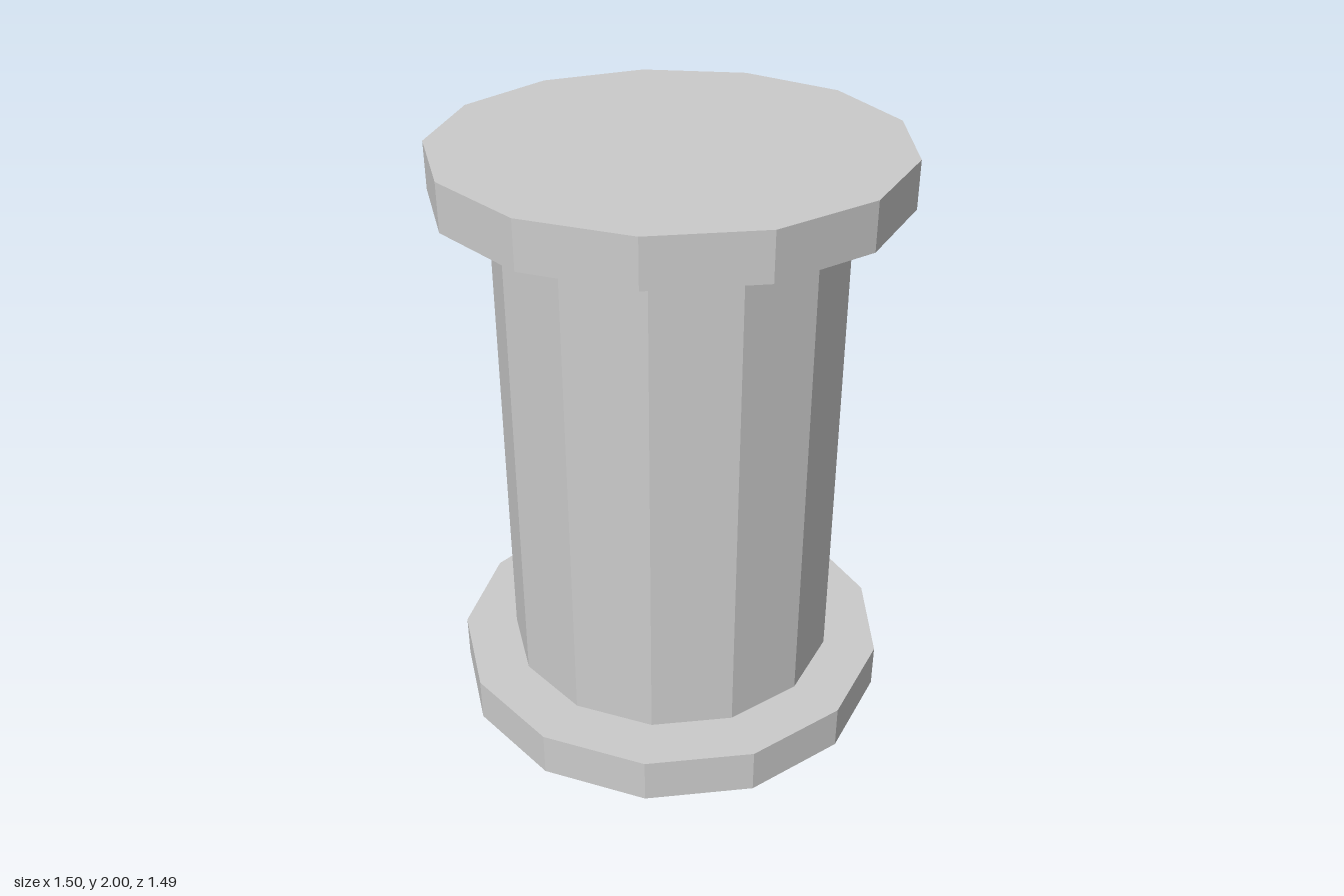
import * as THREE from 'three';

const SIDES = 13;
const FLANGE_RADIUS = 0.756;
const SHAFT_RADIUS = 0.572;
const FLANGE_HEIGHT = 0.155;
const HEIGHT = 2;
// An odd-sided prism is not symmetric front to back; this centres its extent on z = 0.
const CENTRE_Z = FLANGE_RADIUS * (1 - Math.cos(Math.PI / SIDES)) / 2;

export function createModel() {
  const group = new THREE.Group();
  group.name = 'spool';
  const material = new THREE.MeshStandardMaterial({ color: 0xcccccc, flatShading: true });

  // Upright prism with one corner pointing straight back
  const addPrism = (name, radius, bottom, top, open = false) => {
    const geometry = new THREE.CylinderGeometry(radius, radius, top - bottom, SIDES, 1, open, Math.PI);
    const mesh = new THREE.Mesh(geometry, material);
    mesh.name = name;
    mesh.position.set(0, (bottom + top) / 2, CENTRE_Z);
    group.add(mesh);
  };

  addPrism('bottomFlange', FLANGE_RADIUS, 0, FLANGE_HEIGHT);
  addPrism('shaft', SHAFT_RADIUS, FLANGE_HEIGHT, HEIGHT - FLANGE_HEIGHT, true);
  addPrism('topFlange', FLANGE_RADIUS, HEIGHT - FLANGE_HEIGHT, HEIGHT);

  return group;
}
